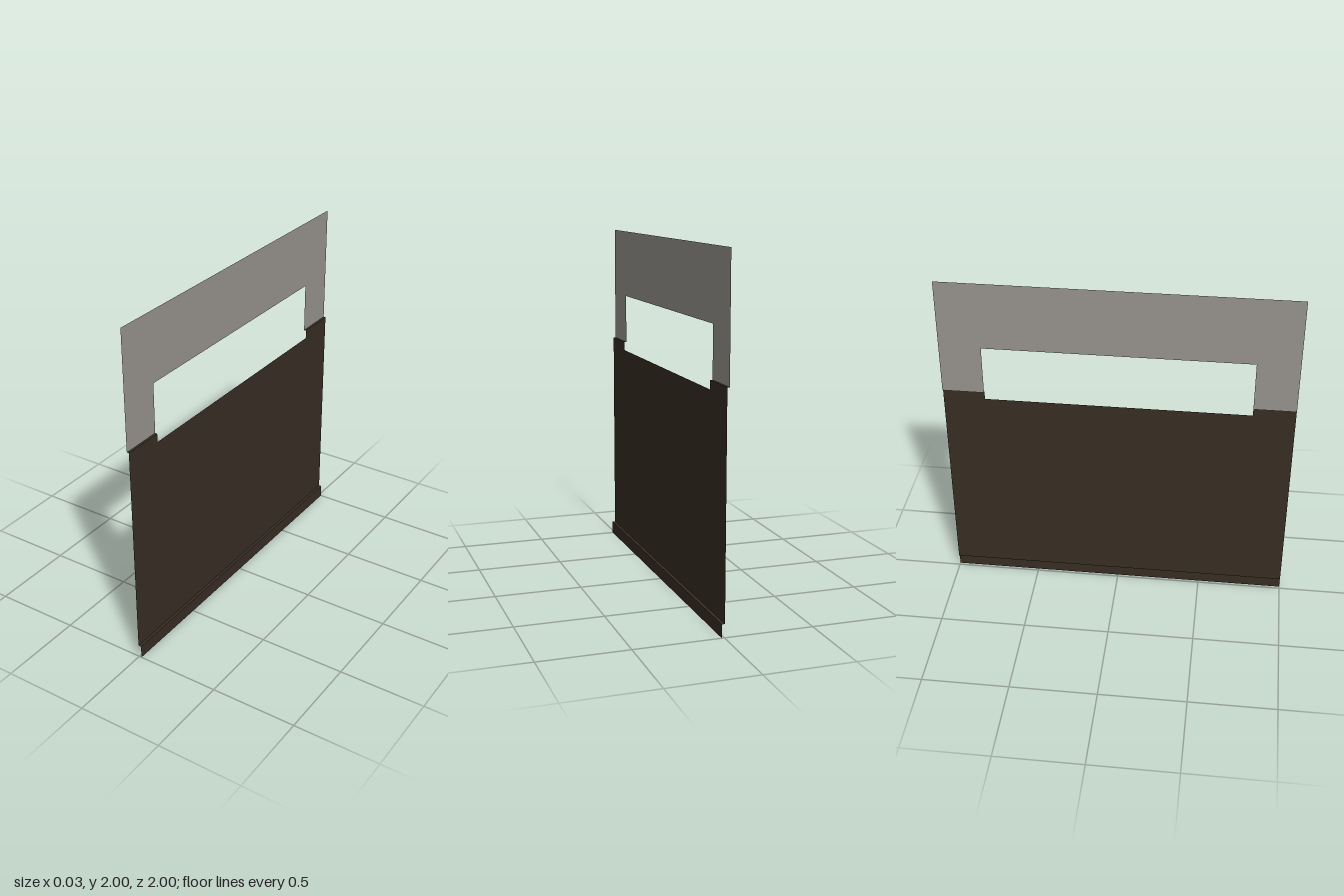
import * as THREE from 'three';

const WALL_X = -0.002, UPPER_X = -0.015, BASE_X = 0.015;
const BASE_TOP = 0.075, SILL = 1.26, LEDGE = 1.31, HEAD = 1.6, JAMB = 0.76;

const upperPaint = new THREE.MeshStandardMaterial({ color: 0x98948e, side: THREE.DoubleSide });
upperPaint.name = 'pale grey plaster';
const darkWood = new THREE.MeshStandardMaterial({ color: 0x382d24, side: THREE.DoubleSide });
darkWood.name = 'dark brown panelling';

// Upright sheet facing +x, outlined by [z, y] points
function sheet(name, x, points, material) {
  const shape = new THREE.Shape(points.map(([z, y]) => new THREE.Vector2(-z, y)));
  const mesh = new THREE.Mesh(new THREE.ShapeGeometry(shape).rotateY(Math.PI / 2), material);
  mesh.position.x = x;
  mesh.name = name;
  return mesh;
}

// Flat ledge facing up, spanning x0..x1 and z0..z1
function ledge(name, x0, x1, z0, z1, y) {
  const geometry = new THREE.PlaneGeometry(x1 - x0, z1 - z0).rotateX(-Math.PI / 2);
  const mesh = new THREE.Mesh(geometry, darkWood);
  mesh.position.set((x0 + x1) / 2, y, (z0 + z1) / 2);
  mesh.name = name;
  return mesh;
}

export function createModel() {
  const wall = new THREE.Group();
  wall.name = 'windowWallSection';

  // Upper wall wrapping over the window opening
  wall.add(sheet('upperWall', UPPER_X, [
    [-1, LEDGE], [-1, 2], [1, 2], [1, LEDGE],
    [JAMB, LEDGE], [JAMB, HEAD], [-JAMB, HEAD], [-JAMB, LEDGE],
  ], upperPaint));

  // Lower panelling, notched down to the window sill
  wall.add(sheet('lowerPanelling', WALL_X, [
    [-1, BASE_TOP], [-1, LEDGE], [-JAMB, LEDGE], [-JAMB, SILL],
    [JAMB, SILL], [JAMB, LEDGE], [1, LEDGE], [1, BASE_TOP],
  ], darkWood));

  // Ledges on top of the panelling beside the window
  wall.add(ledge('panelLedgeFront', UPPER_X, WALL_X, JAMB, 1, LEDGE));
  wall.add(ledge('panelLedgeBack', UPPER_X, WALL_X, -1, -JAMB, LEDGE));

  // Skirting board with its top ledge
  wall.add(sheet('skirtingBoard', BASE_X, [[-1, 0], [-1, BASE_TOP], [1, BASE_TOP], [1, 0]], darkWood));
  wall.add(ledge('skirtingLedge', WALL_X, BASE_X, -1, 1, BASE_TOP));

  return wall;
}
